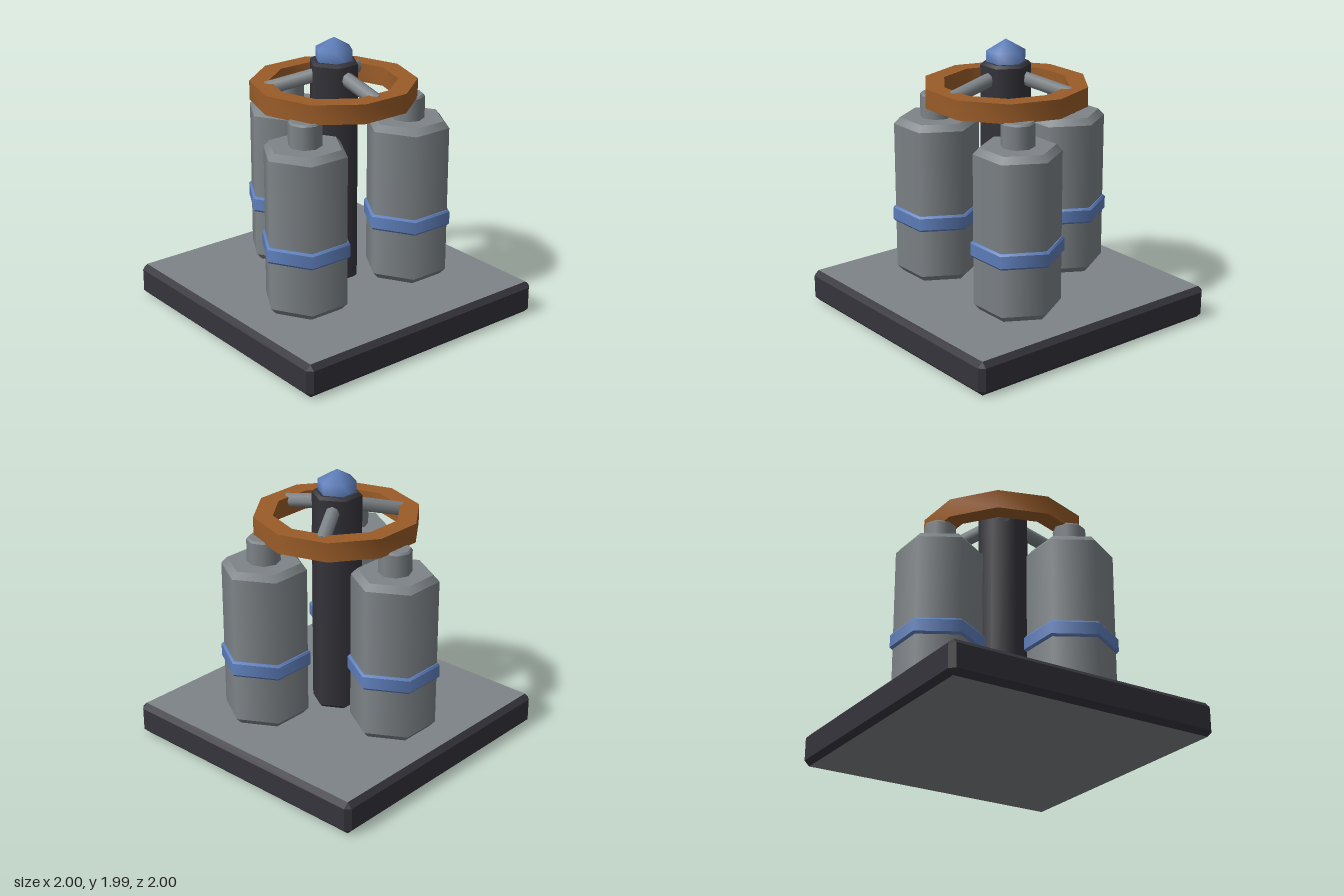
import * as THREE from 'three';
import { toCreasedNormals } from 'three/addons/utils/BufferGeometryUtils.js';
import { ConvexGeometry } from 'three/addons/geometries/ConvexGeometry.js';

const material = (name, color) => {
  const m = new THREE.MeshStandardMaterial({ color });
  m.name = name;
  return m;
};

export function createModel() {
  const grey = material('grey metal', 0x7e8488);
  const dark = material('dark iron', 0x35343b);
  const blue = material('blue paint', 0x5f80bd);
  const orange = material('orange paint', 0x9a5c28);

  const model = new THREE.Group();
  model.name = 'tankManifold';

  const add = (parent, name, geometry, mat) => {
    const mesh = new THREE.Mesh(geometry, mat);
    mesh.name = name;
    parent.add(mesh);
    return mesh;
  };

  // Upright prism with chamfered ends; sides shade smoothly, chamfers stay separate
  const prism = (parent, name, mat, sides, r, y0, y1, chamferR, chamferY) => {
    const group = new THREE.Group();
    group.name = name;
    const start = Math.PI / 2; // a corner on the x axis
    const section = (part, rTop, rBottom, a, b, open) => {
      const g = new THREE.CylinderGeometry(rTop, rBottom, b - a, sides, 1, open, start);
      g.translate(0, (a + b) / 2, 0);
      add(group, part, g, mat);
    };
    const disc = (part, y, turn) => {
      const g = new THREE.CircleGeometry(r - chamferR, sides);
      g.rotateX(turn).translate(0, y, 0);
      add(group, part, g, mat);
    };
    section(name + 'Side', r, r, y0 + chamferY, y1 - chamferY, true);
    section(name + 'UpperChamfer', r - chamferR, r, y1 - chamferY, y1, true);
    section(name + 'LowerChamfer', r, r - chamferR, y0, y0 + chamferY, true);
    disc(name + 'Top', y1, -Math.PI / 2);
    disc(name + 'Bottom', y0, Math.PI / 2);
    parent.add(group);
    return group;
  };

  // Base slab with every edge chamfered, grey on the top and bottom faces
  const half = [1, 0.1175, 1];
  const c = 0.036;
  const points = [];
  for (const sx of [-1, 1]) for (const sy of [-1, 1]) for (const sz of [-1, 1]) {
    for (let axis = 0; axis < 3; axis++) {
      const p = half.map((h, i) => (i === axis ? h : h - c));
      points.push(new THREE.Vector3(sx * p[0], sy * p[1], sz * p[2]));
    }
  }
  const slab = new ConvexGeometry(points);
  const normals = slab.attributes.normal;
  for (let i = 0; i < normals.count; i += 3) {
    slab.addGroup(i, 3, Math.abs(normals.getY(i)) > 0.9 ? 1 : 0);
  }
  slab.translate(0, half[1], 0);
  add(model, 'base', slab, [dark, grey]);

  // Central pillar and its domed knob
  prism(model, 'pillar', dark, 6, 0.175, 0.235, 1.83, 0.02, 0.02);
  add(model, 'knob', new THREE.SphereGeometry(0.155, 6, 3), blue).position.y = 1.83;

  // Three tanks around the pillar, each with a neck and a band
  for (let i = 0; i < 3; i++) {
    const angle = Math.PI + (i * Math.PI * 2) / 3;
    const tank = new THREE.Group();
    tank.name = 'tank' + (i + 1);
    tank.position.set(Math.sin(angle) * 0.52, 0, Math.cos(angle) * 0.52);
    prism(tank, 'body', grey, 6, 0.3, 0.235, 1.388, 0.042, 0.045);
    prism(tank, 'neck', grey, 8, 0.115, 1.37, 1.56, 0.012, 0.014);
    prism(tank, 'band', blue, 6, 0.32, 0.622, 0.735, 0.012, 0.014);
    model.add(tank);
  }

  // Ten-sided wheel rim
  const rimProfile = [[0.44, 1.55], [0.575, 1.55], [0.575, 1.685], [0.44, 1.685], [0.44, 1.55]]
    .map(([x, y]) => new THREE.Vector2(x, y));
  const rim = new THREE.LatheGeometry(rimProfile, 10, Math.PI / 2);
  add(model, 'wheelRim', toCreasedNormals(rim, 0.75), orange);

  // Three spokes sloping from the pillar down into the rim
  for (let i = 0; i < 3; i++) {
    const angle = (i * Math.PI * 2) / 3;
    const from = new THREE.Vector3(0, 1.75, 0.02);
    const to = new THREE.Vector3(0, 1.643, 0.465);
    const g = new THREE.CylinderGeometry(0.05, 0.05, from.distanceTo(to), 8);
    g.applyQuaternion(new THREE.Quaternion().setFromUnitVectors(
      new THREE.Vector3(0, 1, 0), to.clone().sub(from).normalize()));
    const mid = from.add(to).multiplyScalar(0.5);
    g.translate(mid.x, mid.y, mid.z).rotateY(angle);
    add(model, 'spoke' + (i + 1), g, grey);
  }

  return model;
}
